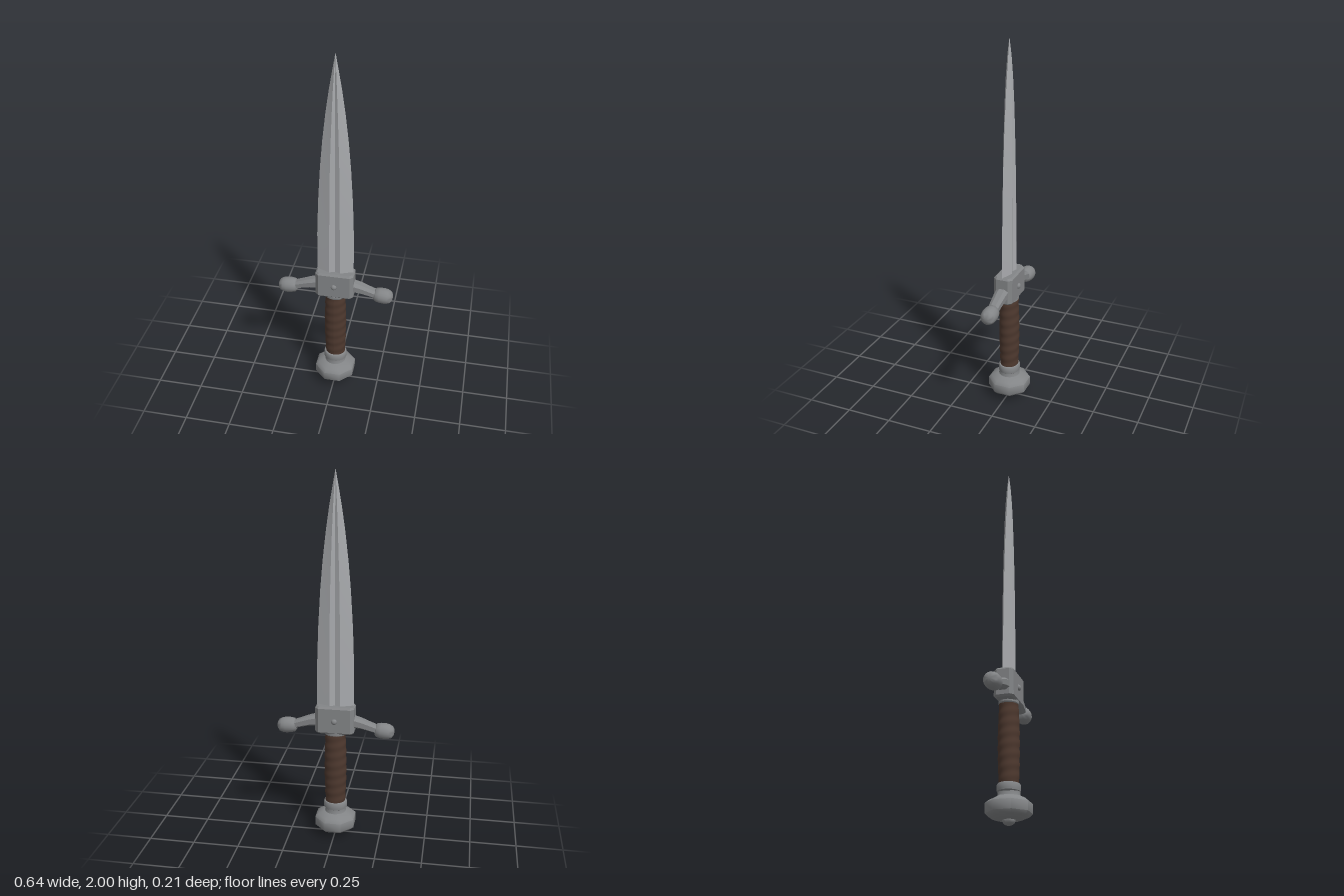
import * as THREE from 'three';
import { toCreasedNormals } from 'three/addons/utils/BufferGeometryUtils.js';

const steel = new THREE.MeshStandardMaterial({ color: 0xa9abae });
steel.name = 'blade steel';
const iron = new THREE.MeshStandardMaterial({ color: 0x838587 });
iron.name = 'fittings iron';
const leather = new THREE.MeshStandardMaterial({ color: 0x4d382e });
leather.name = 'grip leather';

// Joins equal-sized rings of points into a closed skin with capped ends
function loft(rings) {
  const n = rings[0].length, index = [];
  for (let i = 0; i < rings.length - 1; i++) {
    for (let j = 0; j < n; j++) {
      const a = i * n + j, b = i * n + (j + 1) % n;
      index.push(a, b, a + n, b, b + n, a + n);
    }
  }
  const last = (rings.length - 1) * n;
  for (let j = 1; j < n - 1; j++) {
    index.push(0, j + 1, j, last, last + j, last + j + 1);
  }
  const geometry = new THREE.BufferGeometry();
  geometry.setAttribute('position', new THREE.Float32BufferAttribute(rings.flat(2), 3));
  geometry.setIndex(index);
  return geometry;
}

function lathe(points, sides, crease, phi = 0) {
  const profile = points.map(([r, y]) => new THREE.Vector2(r, y));
  return toCreasedNormals(new THREE.LatheGeometry(profile, sides, phi), crease);
}

export function createModel() {
  const model = new THREE.Group();
  model.name = 'dagger';
  const add = (name, geometry, material, parent = model) => {
    const mesh = new THREE.Mesh(geometry, material);
    mesh.name = name;
    parent.add(mesh);
    return mesh;
  };

  // Blade: leaf outline with two ridges and a central fuller on each face
  const outline = [
    // y, half width, half thickness, ridge offset
    [0.74, 0.1, 0.028, 0.029], [1.0, 0.098, 0.027, 0.028],
    [1.2, 0.091, 0.026, 0.027], [1.4, 0.079, 0.024, 0.024],
    [1.55, 0.066, 0.022, 0.02], [1.7, 0.049, 0.019, 0.015],
    [1.82, 0.032, 0.015, 0.01], [1.92, 0.015, 0.009, 0.005],
    [2.0, 0.0008, 0.0008, 0.0003],
  ];
  const bladeRings = outline.map(([y, w, t, r]) => [
    [w, y, 0], [r, y, -t], [0, y, -t * 0.6], [-r, y, -t],
    [-w, y, 0], [-r, y, t], [0, y, t * 0.6], [r, y, t],
  ]);
  add('blade', toCreasedNormals(loft(bladeRings), 0.2), steel);

  // Guard block: chamfered on every edge
  const hx = 0.096, hz = 0.043, c = 0.013;
  const plan = new THREE.Shape([
    [hx, -hz + c], [hx, hz - c], [hx - c, hz], [-hx + c, hz],
    [-hx, hz - c], [-hx, -hz + c], [-hx + c, -hz], [hx - c, -hz],
  ].map(([x, z]) => new THREE.Vector2(x, z)));
  const block = new THREE.ExtrudeGeometry(plan, {
    depth: 0.135, bevelEnabled: true, bevelThickness: 0.01, bevelSize: 0.009, bevelSegments: 1,
  });
  block.rotateX(-Math.PI / 2);
  block.translate(0, 0.625, 0);
  add('guardBlock', block, iron);

  // Rivets on front and back
  for (const side of [1, -1]) {
    const rivet = add('guardRivet', new THREE.SphereGeometry(0.016, 14, 10), iron);
    rivet.scale.z = 0.8;
    rivet.position.set(0, 0.69, side * 0.052);
  }

  // Guard arms: chamfered bars drooping to rounded knobs
  const armStations = [
    // x, centre y, half height, half depth
    [0.09, 0.681, 0.032, 0.036], [0.14, 0.671, 0.027, 0.033],
    [0.18, 0.658, 0.024, 0.03], [0.235, 0.64, 0.021, 0.027],
  ];
  const armRings = armStations.map(([x, y, h, d]) => [
    [1, 0.45], [0.55, 1], [-0.55, 1], [-1, 0.45],
    [-1, -0.45], [-0.55, -1], [0.55, -1], [1, -0.45],
  ].map(([v, u]) => [x, y + v * h, u * d]));
  const knobProfile = [
    [0, -0.052], [0.026, -0.051], [0.037, -0.042], [0.042, -0.02], [0.043, 0.006],
    [0.04, 0.025], [0.032, 0.042], [0.018, 0.051], [0, 0.053],
  ];
  for (const side of [1, -1]) {
    const arm = new THREE.Group();
    arm.name = side > 0 ? 'leftGuardArm' : 'rightGuardArm';
    if (side < 0) arm.rotation.y = Math.PI;
    add('armBar', toCreasedNormals(loft(armRings), 0.5), iron, arm);
    const knob = add('armKnob', lathe(knobProfile, 20, 0.9), iron, arm);
    knob.rotation.z = -Math.PI / 2 - 0.08;
    knob.position.set(0.265, 0.634, 0);
    model.add(arm);
  }

  // Grip: oval handle with a shallow spiral leather wrap
  const grip = new THREE.CylinderGeometry(1, 1, 0.42, 28, 72, true);
  const p = grip.attributes.position;
  for (let i = 0; i < p.count; i++) {
    const x = p.getX(i), y = p.getY(i), z = p.getZ(i);
    const swell = 0.054 + 0.006 * Math.cos(y / 0.21 * Math.PI / 2);
    const r = swell + 0.0012 * Math.sin(y * Math.PI * 2 / 0.055 + Math.atan2(z, x));
    p.setXYZ(i, x * r, y + 0.4, z * r * 0.9);
  }
  grip.computeVertexNormals();
  add('grip', grip, leather);

  // Ferrules above and below the grip
  const upper = add('upperFerrule', lathe(
    [[0, 0.598], [0.054, 0.598], [0.06, 0.606], [0.06, 0.622], [0, 0.63]], 28, 0.6), iron);
  upper.scale.z = 0.85;
  const lower = add('lowerFerrule', lathe(
    [[0, 0.155], [0.056, 0.155], [0.064, 0.161], [0.065, 0.168], [0.065, 0.19],
      [0.061, 0.198], [0.05, 0.202], [0, 0.202]], 28, 0.6), iron);
  lower.scale.z = 0.9;

  // Pommel: soft eight-sided knob with a neck and an end button
  add('pommel', lathe(
    [[0, 0.024], [0.062, 0.027], [0.1, 0.04], [0.116, 0.056], [0.116, 0.104],
      [0.1, 0.118], [0.064, 0.136], [0, 0.14]],
    8, 0.85, Math.PI / 8), iron);
  add('pommelNeck', lathe([[0.06, 0.132], [0.056, 0.142], [0.055, 0.16]], 28, 0.6), iron);
  add('pommelButton', lathe(
    [[0, 0], [0.016, 0.002], [0.027, 0.01], [0.032, 0.02], [0.032, 0.03]], 20, 0.7), iron);

  return model;
}
